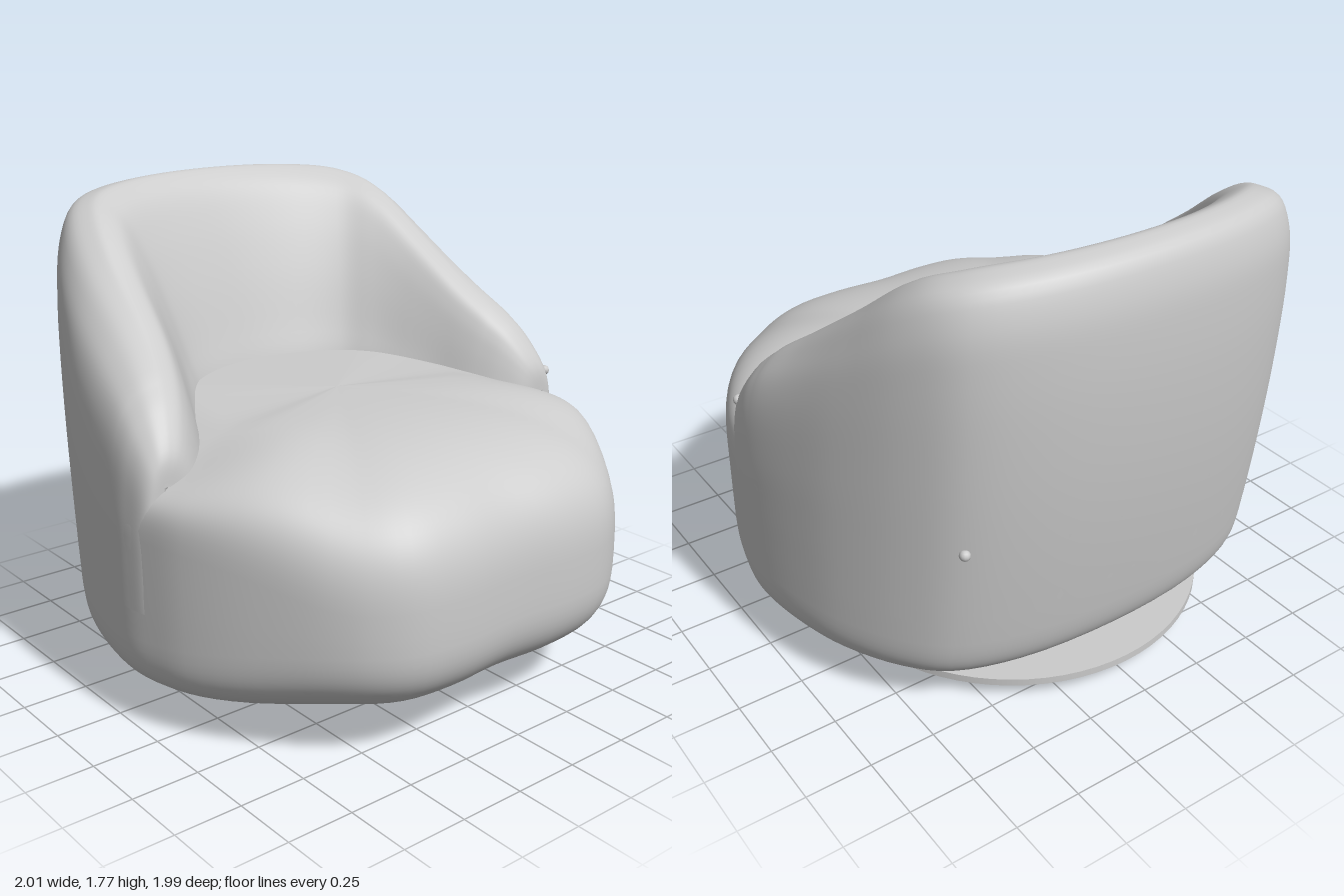
import * as THREE from 'three';

const V = (x, y, z) => new THREE.Vector3(x, y, z);
const lerp = THREE.MathUtils.lerp;
const smooth = THREE.MathUtils.smoothstep;

// the rear leans backwards as it rises
const lean = (z, y) => (z < 0 ? z * (0.8 + 0.2 * Math.sin(Math.min(y / 1.6, 1) * Math.PI / 2)) : z);

// skin a grid of points: rows x columns, optionally joined around
function skin(rows, cols, closed, point) {
  const pos = [], idx = [];
  const n = closed ? cols : cols + 1;
  for (let i = 0; i <= rows; i++) {
    for (let j = 0; j < n; j++) pos.push(...point(i / rows, j / cols));
  }
  for (let i = 0; i < rows; i++) {
    for (let j = 0; j < cols; j++) {
      const a = i * n + j, b = i * n + (j + 1) % n;
      idx.push(a, b, a + n, b, b + n, a + n);
    }
  }
  const g = new THREE.BufferGeometry();
  g.setAttribute('position', new THREE.Float32BufferAttribute(pos, 3));
  g.setIndex(idx);
  g.computeVertexNormals();
  return g;
}

// half outline seen from above, front part then rear part (x, z)
const frontHalf = [[0, 0.978], [0.25, 0.992], [0.46, 0.965], [0.63, 0.855], [0.82, 0.59], [0.94, 0.35], [0.982, 0.2]];
const rearHalf = [[1, 0.1], [1, 0], [0.97, -0.22], [0.91, -0.45], [0.79, -0.7], [0.655, -0.855], [0.4, -0.96], [0, -1]];

// mirror a half list that ends on the centre line
const mirrorList = (half) => [...half, ...half.slice(0, -1).reverse().map(([x, ...r]) => [-x, ...r])];

function seatGeometry() {
  const pts = mirrorList([...frontHalf, ...rearHalf]).slice(0, -1);
  const outline = new THREE.CatmullRomCurve3(pts.map(([x, z]) => V(x, 0, z)), true);
  return skin(60, 112, true, (v, u) => {
    const o = outline.getPoint(u % 1);
    const a = (v - 0.5) * Math.PI;
    const w = smooth(o.z, 0.15, 0.9);
    const p = a < 0 ? lerp(6, 3.2, w) : lerp(9, 3.2, w);
    const s = Math.pow(Math.max(Math.cos(a), 0), 2 / p);
    const h = Math.pow(Math.abs(Math.sin(a)), 2 / p);
    // the cushion drops towards its sides
    const drop = 1 - 0.22 * (1 - w) * smooth(Math.abs(o.x * s), 0.4, 0.95);
    const y = a < 0 ? 0.5 - 0.41 * h : 0.5 + 0.535 * h * drop;
    return [o.x * s, y, lean(o.z, y) * s];
  });
}

function backrestGeometry() {
  // stations from arm tip to centre: outer x, z; inner x, z; crest height
  const stations = mirrorList([
    [0.91, 0.215, 0.91, 0.215, 0.88],
    [0.975, 0.2, 0.8, 0.21, 1.0],
    [1, 0.1, 0.71, 0.14, 1.13],
    [1, 0, 0.64, 0.05, 1.22],
    [0.97, -0.22, 0.57, -0.07, 1.34],
    [0.91, -0.45, 0.49, -0.18, 1.48],
    [0.79, -0.7, 0.41, -0.29, 1.66],
    [0.655, -0.855, 0.33, -0.38, 1.73],
    [0.4, -0.96, 0.19, -0.46, 1.755],
    [0, -1, 0, -0.5, 1.763],
  ]);
  const outer = new THREE.CatmullRomCurve3(stations.map((s) => V(s[0], 0, s[1])));
  const inner = new THREE.CatmullRomCurve3(stations.map((s) => V(Math.sign(s[0]) * Math.abs(s[2]), 0, s[3])));
  const crest = new THREE.CatmullRomCurve3(stations.map((s, i) => V(i, s[4], 0)));
  // sections: share of the way from outer to inner, share of height, floor
  const heights = [
    [0, 0.45], [0.25, 0.45], [0.5, 0.45], [0.75, 0.45], [0.88, 0.45], [0.965, 0.45], [1, 0.6],
    [0.985, 0.9], [0.92, 0.9], [0.77, 0.9], [0.55, 0.9], [0.3, 0.9], [0.1, 0.9], [-0.1, 0.9],
  ];
  const section = (shares) => new THREE.CatmullRomCurve3(shares.map((q, i) => V(q, ...heights[i])));
  const backSection = section([0, 0, 0, 0.003, 0.02, 0.08, 0.22, 0.35, 0.47, 0.6, 0.74, 0.87, 0.97, 1]);
  const armSection = section([0, 0, 0.01, 0.06, 0.15, 0.31, 0.49, 0.63, 0.73, 0.81, 0.88, 0.94, 0.98, 1]);
  return skin(60, 108, false, (v, u) => {
    const o = outer.getPoint(u), n = inner.getPoint(u), h = crest.getPoint(u).y;
    // the arms are rounder than the back
    const c = backSection.getPoint(v).lerp(armSection.getPoint(v), smooth(o.z, -0.85, -0.1));
    const y = c.z + (h - c.z) * c.y;
    return [lerp(o.x, n.x, c.x), y, lerp(lean(o.z, y), n.z, c.x)];
  });
}

export function createModel() {
  const group = new THREE.Group();
  const fabric = new THREE.MeshStandardMaterial({ color: 0xcccccc, side: THREE.DoubleSide });
  fabric.name = 'light grey';

  const add = (name, geometry, x = 0, y = 0, z = 0) => {
    const mesh = new THREE.Mesh(geometry, fabric);
    mesh.name = name;
    mesh.position.set(x, y, z);
    group.add(mesh);
  };

  add('seat', seatGeometry());
  add('backrest', backrestGeometry());

  // swivel base
  add('basePlate', new THREE.CylinderGeometry(0.74, 0.74, 0.028, 72), 0, 0.073, -0.15);
  add('pedestal', new THREE.CylinderGeometry(0.357, 0.357, 0.07, 64), 0, 0.035, -0.1);

  // small studs
  const stud = new THREE.SphereGeometry(0.02, 12, 8);
  add('armStud', stud, 0.95, 0.97, 0.18);
  add('rearStud', stud, 0.65, 0.775, -0.81);
  return group;
}
